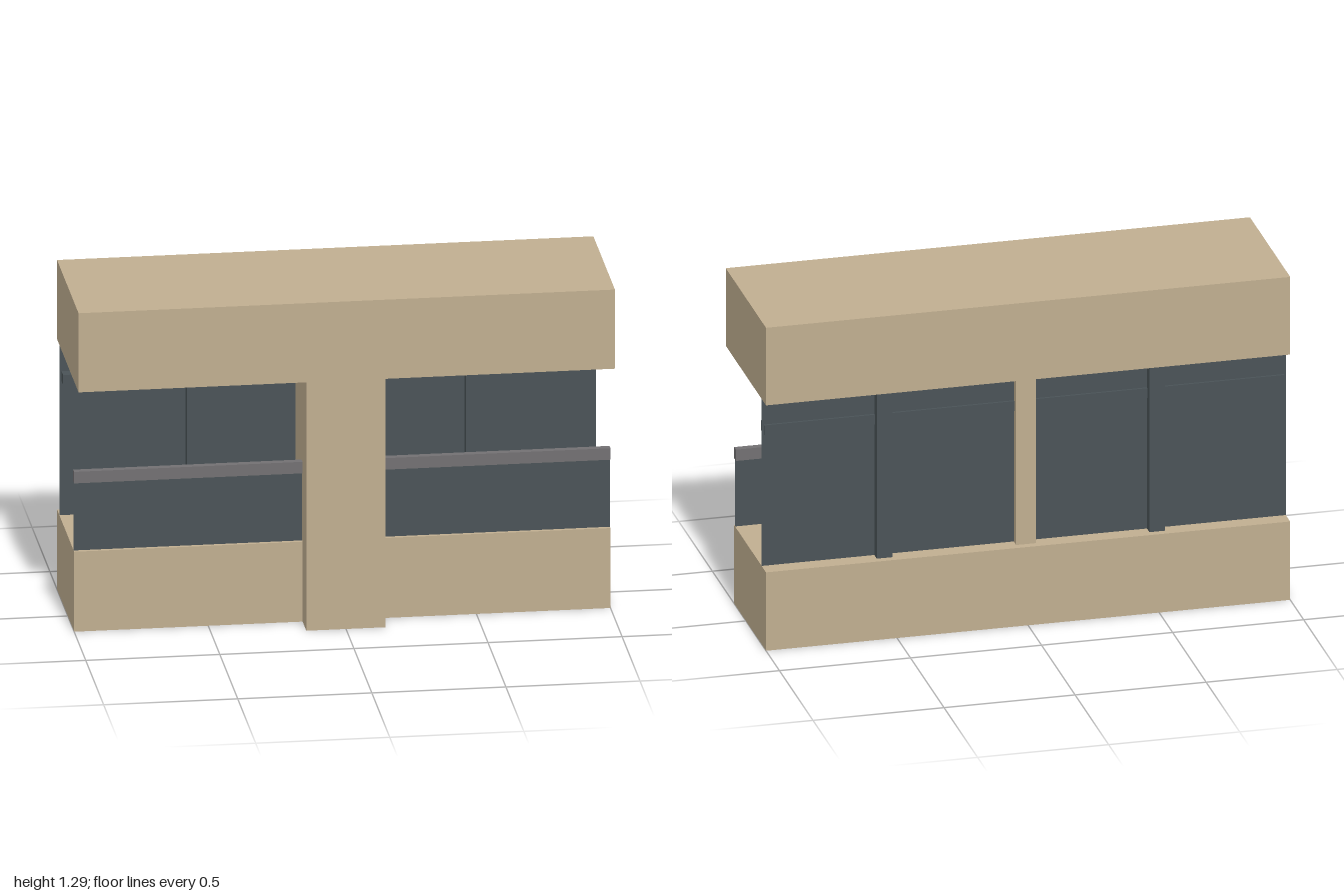
import * as THREE from 'three';

const mat = (name, color, extra = {}) => {
  const m = new THREE.MeshStandardMaterial({ color, ...extra });
  m.name = name;
  return m;
};

export function createModel() {
  const group = new THREE.Group();
  const stone = mat('sandstone', 0xc0ae90);
  const dark = mat('darkFrame', 0x4a5357, { side: THREE.DoubleSide });
  const metal = mat('greyMetal', 0x727072);

  // box given by its lower and upper limits on each axis
  const box = (name, material, [x0, x1], [y0, y1], [z0, z1]) => {
    const mesh = new THREE.Mesh(new THREE.BoxGeometry(x1 - x0, y1 - y0, z1 - z0), material);
    mesh.position.set((x0 + x1) / 2, (y0 + y1) / 2, (z0 + z1) / 2);
    mesh.name = name;
    group.add(mesh);
  };
  // upright glass sheet without thickness
  const pane = (name, [x0, x1], [y0, y1], z) => {
    const mesh = new THREE.Mesh(new THREE.PlaneGeometry(x1 - x0, y1 - y0), dark);
    mesh.position.set((x0 + x1) / 2, (y0 + y1) / 2, z);
    mesh.name = name;
    group.add(mesh);
  };

  const sill = 0.313, soffit = 0.98;

  // masonry
  box('upperSlab', stone, [-1, 1], [soffit, 1.29], [-0.3, 0.3]);
  box('baseSlab', stone, [-1, 1], [0, sill], [-0.3, 0.177]);
  box('frontPillar', stone, [-0.148, 0.148], [0, soffit], [-0.02, 0.28]);
  box('rearFin', stone, [-0.038, 0.038], [sill, soffit], [-0.271, -0.02]);

  // window wall and balcony parapet, one bay on each side of the pillar
  for (const side of [-1, 1]) {
    const span = (a, b) => (side > 0 ? [a, b] : [-b, -a]);
    pane('windowGlass', span(0.038, 1), [sill, soffit], -0.235);
    box('windowTransom', dark, span(0.038, 0.992), [0.838, 0.877], [-0.244, -0.191]);
    pane('parapetGlass', span(0.148, 1), [sill, 0.58], 0.162);
    box('handrail', metal, span(0.148, 1), [0.58, 0.625], [0.148, 0.175]);
  }

  // window mullions
  for (const x of [-0.5, 0.54]) {
    box('windowMullion', dark, [x - 0.03, x + 0.03], [sill, soffit], [-0.272, -0.185]);
  }

  return group;
}
